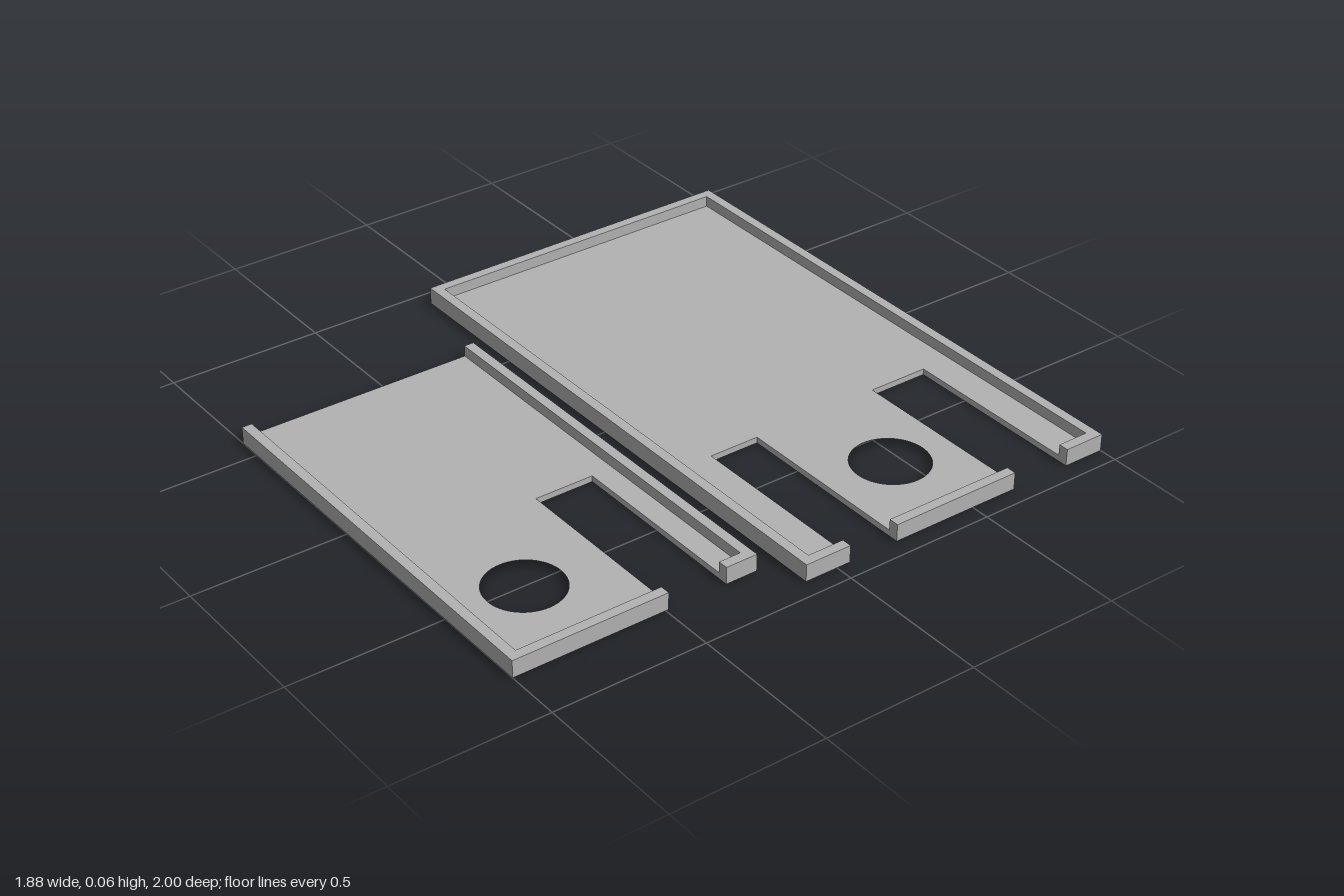
import * as THREE from 'three';

const FLOOR = 0.02;   // floor thickness
const HEIGHT = 0.056; // total height
const WALL = 0.033;   // rim thickness

// Extrude a plan outline of [x, z] points upward from y0 to y1
function slab(name, points, y0, y1, material, hole) {
  const shape = new THREE.Shape(points.map(([x, z]) => new THREE.Vector2(x, -z)));
  if (hole) shape.holes.push(new THREE.Path().absarc(hole[0], -hole[1], hole[2], 0, Math.PI * 2, true));
  const geometry = new THREE.ExtrudeGeometry(shape, { depth: y1 - y0, bevelEnabled: false, curveSegments: 32 });
  geometry.rotateX(-Math.PI / 2);
  geometry.translate(0, y0, 0);
  const mesh = new THREE.Mesh(geometry, material);
  mesh.name = name;
  return mesh;
}

// Floor outline with slots cut in from the +x edge; slots are [z0, z1], back to front
function floorOutline(x0, x1, z0, z1, slotX, slots) {
  const points = [[x0, z0], [x1, z0]];
  for (const [a, b] of slots) points.push([x1, a], [slotX, a], [slotX, b], [x1, b]);
  points.push([x1, z1], [x0, z1]);
  return points;
}

const rect = (x0, x1, z0, z1) => [[x0, z0], [x1, z0], [x1, z1], [x0, z1]];

export function createModel() {
  const model = new THREE.Group();
  const grey = new THREE.MeshStandardMaterial({ color: 0xb2b2b2 });
  grey.name = 'plain grey';
  const rim = (name, points) => slab(name, points, FLOOR, HEIGHT, grey);

  // Large tray: two slots, rim on all four sides
  {
    const x0 = -0.94, x1 = 0.94, z0 = -1, z1 = 0.11;
    const slots = [[-0.862, -0.658], [-0.216, -0.046]];
    const [[backSlot, tabBack], [tabFront, frontSlot]] = slots;
    const xi0 = x0 + WALL, xi1 = x1 - WALL, zi0 = z0 + WALL, zi1 = z1 - WALL;
    const tray = new THREE.Group();
    tray.name = 'largeTray';
    tray.add(
      slab('largeFloor', floorOutline(x0, x1, z0, z1, 0.312, slots), 0, FLOOR, grey, [0.642, -0.447, 0.122]),
      rim('largeRim', [
        [x1, backSlot], [x1, z0], [x0, z0], [x0, z1], [x1, z1], [x1, frontSlot],
        [xi1, frontSlot], [xi1, zi1], [xi0, zi1], [xi0, zi0], [xi1, zi0], [xi1, backSlot],
      ]),
      rim('largeTabRim', rect(xi1, x1, tabBack, tabFront)),
    );
    model.add(tray);
  }

  // Small tray: one slot, left open at -x
  {
    const x0 = -0.58, x1 = 0.82, z0 = 0.187, z1 = 1;
    const slot = [0.293, 0.49];
    const xi1 = x1 - WALL, zi0 = z0 + WALL, zi1 = z1 - WALL;
    const tray = new THREE.Group();
    tray.name = 'smallTray';
    tray.add(
      slab('smallFloor', floorOutline(x0, x1, z0, z1, 0.192, [slot]), 0, FLOOR, grey, [0.522, 0.757, 0.122]),
      rim('smallBackRim', [[x0, z0], [x1, z0], [x1, slot[0]], [xi1, slot[0]], [xi1, zi0], [x0, zi0]]),
      rim('smallFrontRim', [[x1, slot[1]], [x1, z1], [x0, z1], [x0, zi1], [xi1, zi1], [xi1, slot[1]]]),
    );
    model.add(tray);
  }
  return model;
}
